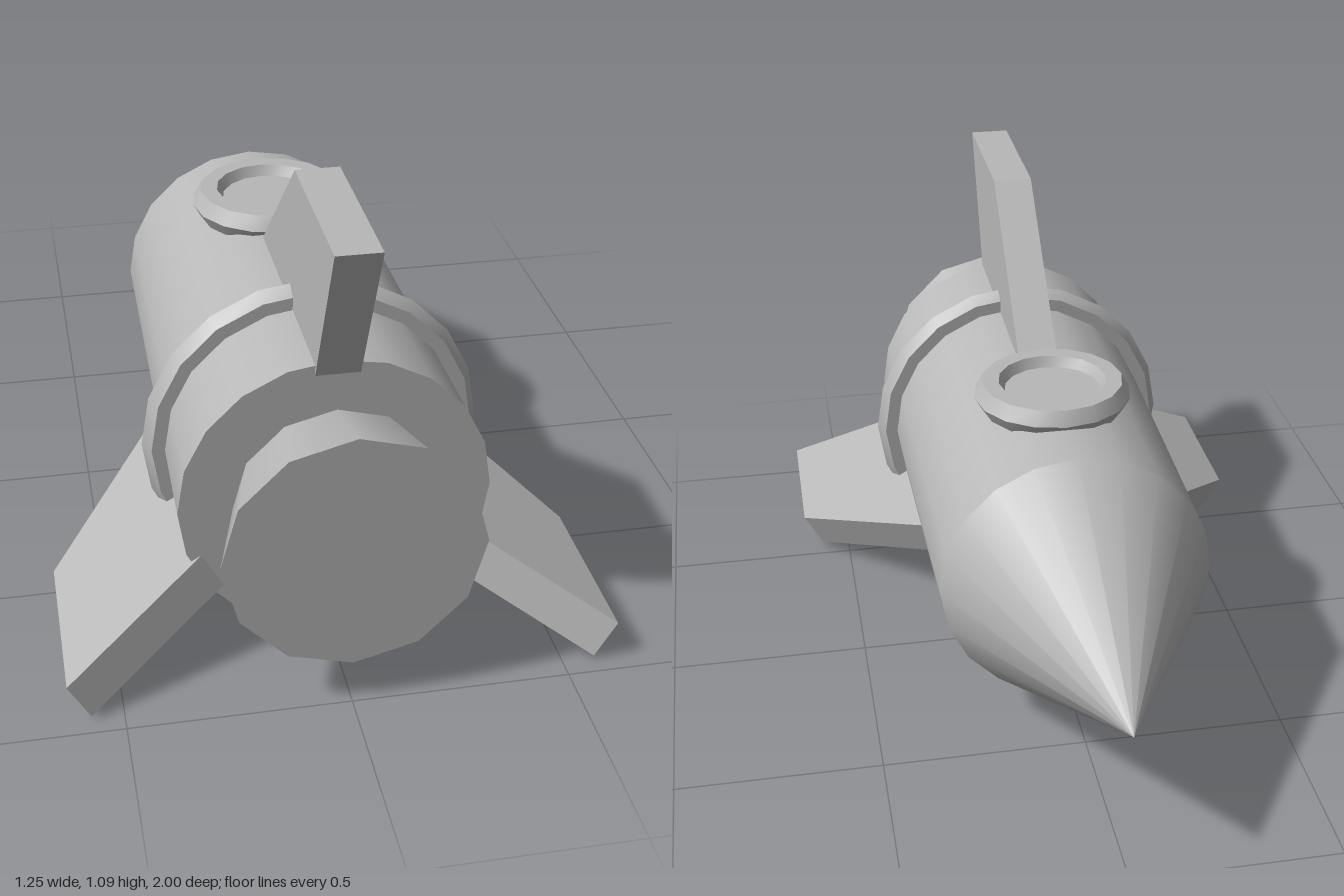
import * as THREE from 'three';
import { toCreasedNormals } from 'three/addons/utils/BufferGeometryUtils.js';

const AXIS_Y = 0.4;

export function createModel() {
  const model = new THREE.Group();
  model.name = 'rocket';
  const hull = new THREE.MeshStandardMaterial({ color: 0xb8b8b8 });
  hull.name = 'hull grey';

  // Everything is built around the rocket's long axis, nose towards -z
  const rocket = new THREE.Group();
  rocket.name = 'rocketBody';
  rocket.position.y = AXIS_Y;
  model.add(rocket);

  const add = (name, geometry, parent = rocket) => {
    const mesh = new THREE.Mesh(geometry, hull);
    mesh.name = name;
    parent.add(mesh);
    return mesh;
  };

  // Tapered section between two z positions
  const section = (name, zFront, rFront, zRear, rRear, sides) => {
    const g = new THREE.CylinderGeometry(rRear, rFront, zRear - zFront, sides);
    g.rotateX(Math.PI / 2);
    g.translate(0, 0, (zFront + zRear) / 2);
    return add(name, g);
  };

  section('fuselage', -0.375, 0.333, 0.79, 0.353, 20);
  section('nozzle', 0.77, 0.225, 1, 0.29, 12);

  // Nose cone
  const nose = new THREE.ConeGeometry(0.333, 0.625, 20, 1, true);
  nose.rotateX(-Math.PI / 2);
  nose.translate(0, 0, -0.6875);
  add('noseCone', nose);

  // Raised band with a hexagonal cross-section
  const band = new THREE.TorusGeometry(0.36, 0.039, 6, 20);
  add('band', toCreasedNormals(band, 0.6)).position.z = 0.5;

  // Porthole on top
  const porthole = new THREE.Group();
  porthole.name = 'porthole';
  porthole.position.set(0, 0.345, -0.045);
  rocket.add(porthole);
  const rim = new THREE.TorusGeometry(0.155, 0.041, 6, 16);
  rim.rotateX(Math.PI / 2);
  add('portholeRim', toCreasedNormals(rim, 0.6), porthole);
  add('portholeGlass', new THREE.CylinderGeometry(0.13, 0.13, 0.04, 16), porthole).position.y = -0.01;

  // Three swept fins: outline drawn as (z, radius), extruded across its thickness
  const outline = new THREE.Shape([
    [0.13, 0.32], [0.79, 0.32], [0.96, 0.69], [0.545, 0.69],
  ].map(([z, r]) => new THREE.Vector2(z, r)));
  const fin = new THREE.ExtrudeGeometry(outline, { depth: 0.1, bevelEnabled: false });
  fin.translate(0, 0, -0.05);
  fin.rotateY(-Math.PI / 2);
  ['topFin', 'rightFin', 'leftFin'].forEach((name, i) => {
    add(name, fin).rotation.z = i * Math.PI * 2 / 3;
  });

  return model;
}
